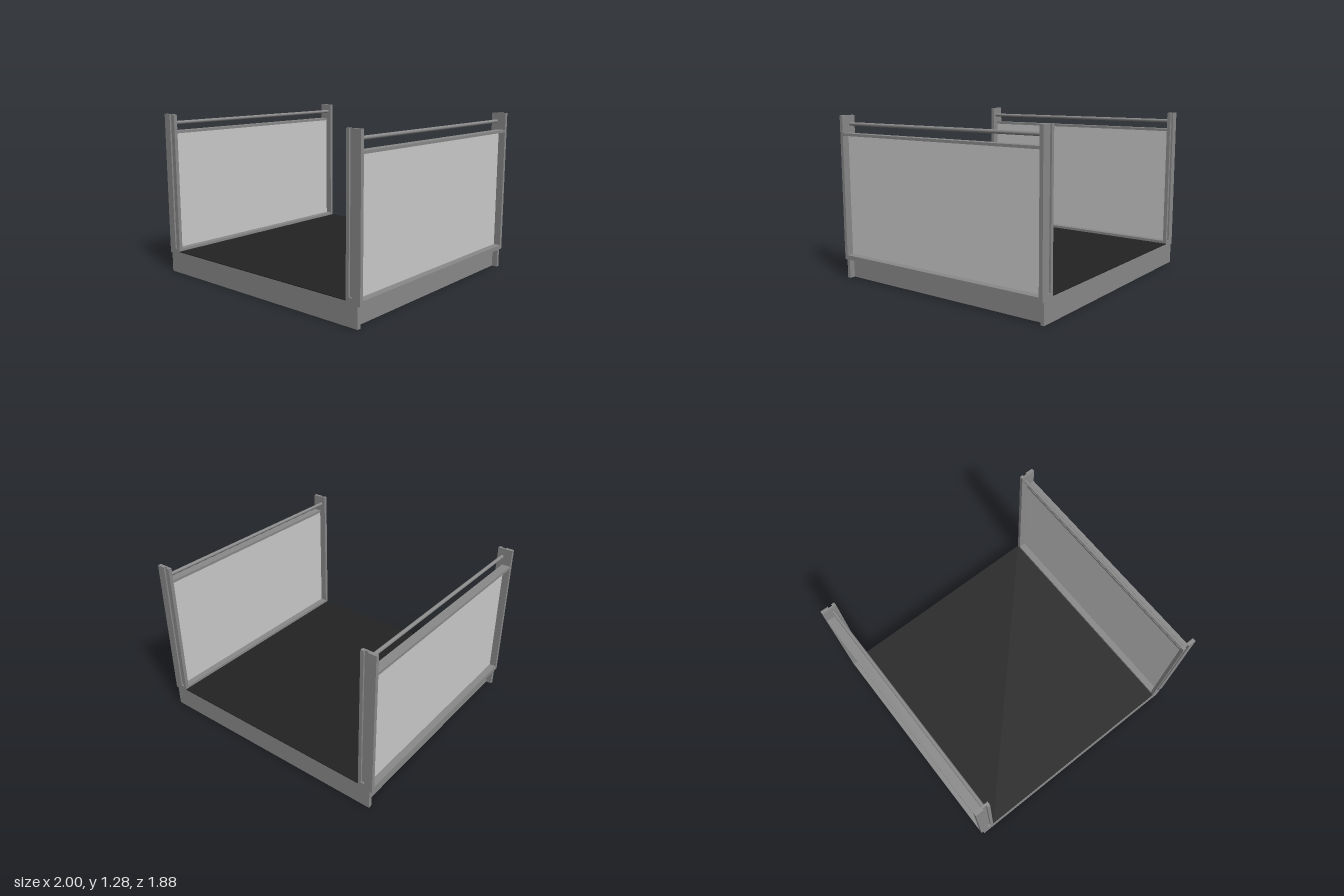
import * as THREE from 'three';

export function createModel() {
  const group = new THREE.Group();
  const steel = new THREE.MeshStandardMaterial({ color: 0x888988 });
  steel.name = 'grey steel';
  const rubber = new THREE.MeshStandardMaterial({ color: 0x222222 });
  rubber.name = 'black floor';
  const sheet = new THREE.MeshStandardMaterial({ color: 0xc9c9c9 });
  sheet.name = 'light grey panel';

  // Box given by its lower and upper limits on each axis
  function box(name, parent, material, [x0, x1], [y0, y1], [z0, z1]) {
    const mesh = new THREE.Mesh(new THREE.BoxGeometry(Math.abs(x1 - x0), y1 - y0, Math.abs(z1 - z0)), material);
    mesh.position.set((x0 + x1) / 2, (y0 + y1) / 2, (z0 + z1) / 2);
    mesh.name = name;
    parent.add(mesh);
  }

  // Platform: recessed body, wider end plates and floor covering
  box('platformBody', group, steel, [-0.935, 0.935], [0, 0.174], [-0.91, 0.91]);
  box('floorCovering', group, rubber, [-0.88, 0.88], [0.174, 0.179], [-0.938, 0.938]);
  for (const e of [-1, 1]) {
    box('endPlate', group, steel, [-0.98, 0.98], [0, 0.174], [e * 0.91, e * 0.938]);
  }

  for (const s of [-1, 1]) {
    const side = new THREE.Group();
    side.name = s > 0 ? 'leftSide' : 'rightSide';
    group.add(side);

    // Infill panel and its horizontal rails
    box('panel', side, sheet, [s * 0.935, s * 0.945], [0.19, 1.13], [-0.91, 0.91]);
    box('bottomRail', side, steel, [s * 0.935, s], [0.155, 0.19], [-0.91, 0.91]);
    box('topRail', side, steel, [s * 0.93, s], [1.13, 1.15], [-0.91, 0.91]);
    box('innerBottomRail', side, steel, [s * 0.88, s * 0.935], [0.174, 0.2], [-0.938, 0.938]);

    // Round handrail above the panel
    const rail = new THREE.Mesh(new THREE.CylinderGeometry(0.014, 0.014, 1.82, 20), steel);
    rail.rotation.x = Math.PI / 2;
    rail.position.set(s * 0.92, 1.217, 0);
    rail.name = 'handrail';
    side.add(rail);

    // Corner posts: outer flat with a grooved inner upright
    for (const e of [-1, 1]) {
      box('outerPost', side, steel, [s * 0.935, s], [0.155, 1.285], [e * 0.91, e * 0.938]);
      box('innerPostWeb', side, steel, [s * 0.88, s * 0.935], [0.2, 1.285], [e * 0.91, e * 0.925]);
      box('innerPostLip', side, steel, [s * 0.88, s * 0.905], [0.2, 1.285], [e * 0.925, e * 0.938]);
    }
  }
  return group;
}
